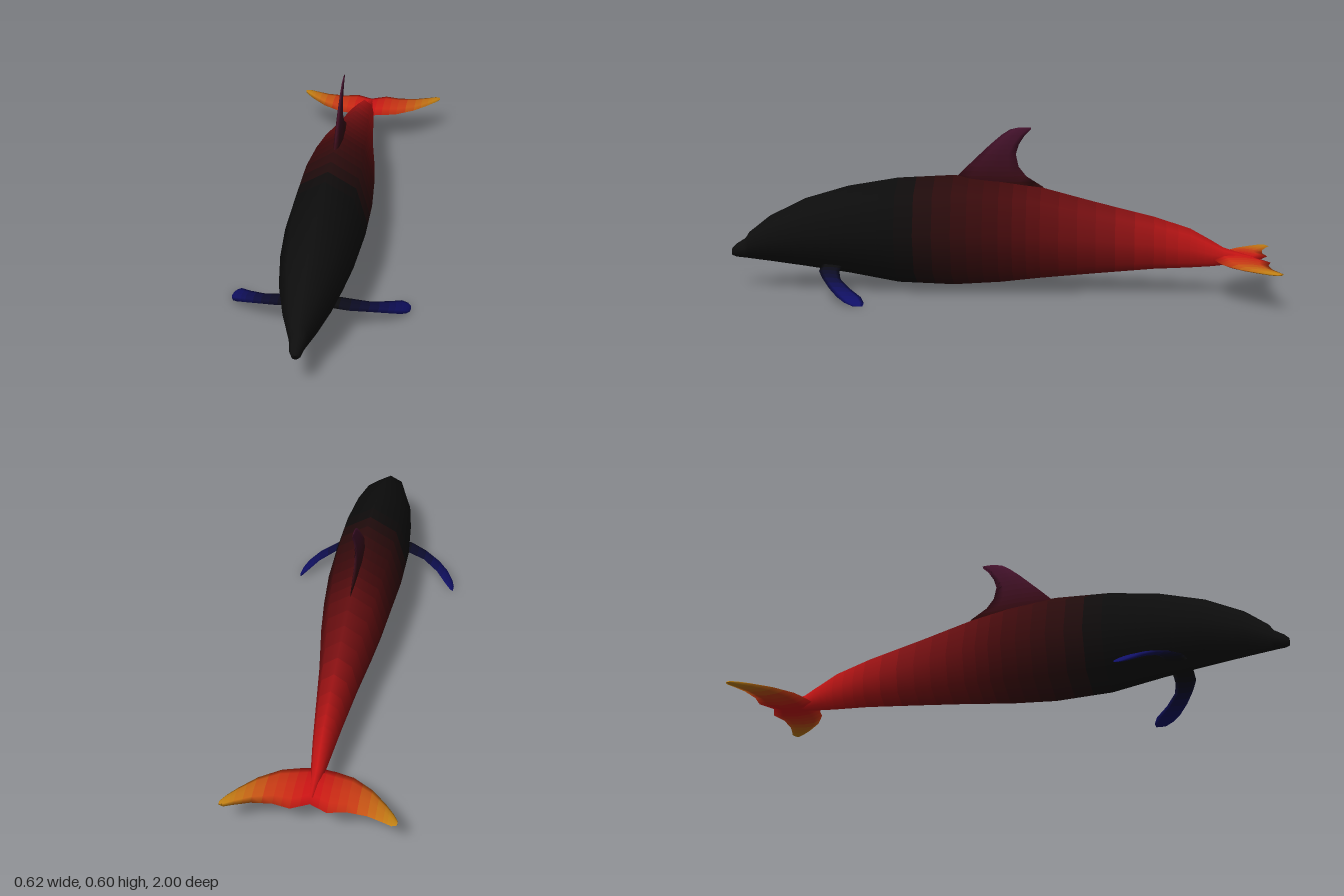
import * as THREE from 'three';

const V = (x, y, z) => new THREE.Vector3(x, y, z);

// Colour at k from a list of [position, hex] stops in rising order
function gradient(stops, k) {
  let i = 0;
  while (i < stops.length - 2 && k > stops[i + 1][0]) i++;
  const [k0, c0] = stops[i], [k1, c1] = stops[i + 1];
  const t = THREE.MathUtils.clamp((k - k0) / (k1 - k0), 0, 1);
  return new THREE.Color(c0).lerp(new THREE.Color(c1), t);
}

// Smooth closed loft through rings of points, split into colour bands
function loft(name, rings, colourAt, split = 3) {
  const n = rings[0].length;
  const centre = r => r.reduce((s, p) => s.add(p), V(0, 0, 0)).divideScalar(n);
  const closed = [rings[0], ...rings, rings[rings.length - 1]].map((r, i, all) => {
    if (i > 0 && i < all.length - 1) return r;
    const c = centre(r);
    return r.map(() => c.clone());
  });
  const indexFor = count => {
    const index = [];
    for (let i = 0; i < count - 1; i++) for (let j = 0; j < n; j++) {
      const a = i * n + j, b = i * n + (j + 1) % n;
      index.push(a, b, b + n, a, b + n, a + n);
    }
    return index;
  };
  // Turn the rings round if the surface would face inwards
  let volume = 0;
  const flat = closed.flat(), idx = indexFor(closed.length);
  for (let i = 0; i < idx.length; i += 3) {
    volume += flat[idx[i]].dot(flat[idx[i + 1]].clone().cross(flat[idx[i + 2]]));
  }
  if (volume < 0) closed.forEach(r => r.reverse());

  const whole = new THREE.BufferGeometry().setFromPoints(closed.flat());
  whole.setIndex(idx);
  whole.computeVertexNormals();
  const normals = closed.map((r, i) => r.map((_, j) =>
    new THREE.Vector3().fromBufferAttribute(whole.attributes.normal, i * n + j)));

  const group = new THREE.Group();
  group.name = name;
  for (let i = 0; i < closed.length - 1; i++) {
    const cap = i === 0 || i === closed.length - 2;
    const steps = cap ? 1 : split;
    for (let s = 0; s < steps; s++) {
      const pos = [], nor = [];
      for (const t of [s / steps, (s + 1) / steps]) for (let j = 0; j < n; j++) {
        pos.push(closed[i][j].clone().lerp(closed[i + 1][j], t));
        // Cap centres have too little area for a useful normal of their own
        const n0 = normals[i === 0 ? 1 : i][j];
        const n1 = normals[i === closed.length - 2 ? i : i + 1][j];
        nor.push(n0.clone().lerp(n1, t).normalize());
      }
      const geometry = new THREE.BufferGeometry().setFromPoints(pos);
      geometry.setAttribute('normal', new THREE.Float32BufferAttribute(nor.flatMap(v => v.toArray()), 3));
      geometry.setIndex(indexFor(2));
      const middle = centre(closed[i]).lerp(centre(closed[i + 1]), (s + 0.5) / steps);
      const mesh = new THREE.Mesh(geometry, new THREE.MeshStandardMaterial({ color: colourAt(middle) }));
      mesh.name = name + 'Band';
      group.add(mesh);
    }
  }
  return group;
}

// Lens-shaped fin section between a leading and a trailing point
function lens(lead, trail, half) {
  const at = (t, k) => lead.clone().lerp(trail, t).addScaledVector(half, k);
  return [at(0, 0), at(0.2, 0.85), at(0.5, 1), at(0.8, 0.5), at(1, 0), at(0.8, -0.5), at(0.5, -1), at(0.2, -0.85)];
}

export function createModel() {
  const model = new THREE.Group();
  model.name = 'dolphin';

  // Body: z, top, bottom, half width of each eight-sided section
  const sections = [
    [1.0, 0.15, 0.122, 0.013], [0.985, 0.165, 0.116, 0.021], [0.95, 0.187, 0.113, 0.027],
    [0.935, 0.21, 0.111, 0.033], [0.855, 0.273, 0.102, 0.064], [0.72, 0.34, 0.085, 0.1],
    [0.56, 0.388, 0.063, 0.124], [0.375, 0.42, 0.031, 0.14], [0.17, 0.432, 0.025, 0.138],
    [0.0, 0.417, 0.037, 0.125], [-0.15, 0.39, 0.055, 0.108], [-0.35, 0.338, 0.075, 0.078],
    [-0.56, 0.287, 0.095, 0.053], [-0.69, 0.246, 0.102, 0.038], [-0.77, 0.202, 0.108, 0.028],
    [-0.81, 0.178, 0.113, 0.022], [-0.92, 0.145, 0.131, 0.008],
  ];
  const skin = [[-0.95, 0xd01414], [-0.7, 0xb81414], [-0.4, 0x7c1012], [0, 0x400a0c], [0.35, 0x0c0c0c], [1, 0x0e0e0e]];
  model.add(loft('body', sections.map(([z, top, bottom, w]) => {
    const ring = [];
    for (let j = 0; j < 8; j++) {
      const a = j * Math.PI / 4;
      ring.push(V(w * Math.sin(a), (top + bottom) / 2 + (top - bottom) / 2 * Math.cos(a), z));
    }
    return ring;
  }), p => gradient(skin, p.z)));

  // Dorsal fin: y, leading z, trailing z, half thickness
  const dorsal = [
    [0.39, 0.17, -0.16, 0.013], [0.43, 0.155, -0.095, 0.012], [0.465, 0.12, -0.067, 0.01],
    [0.51, 0.073, -0.057, 0.008], [0.546, 0.035, -0.068, 0.006], [0.58, -0.005, -0.09, 0.004],
    [0.6, -0.035, -0.111, 0.003], [0.608, -0.07, -0.112, 0.002],
  ];
  model.add(loft('dorsalFin', dorsal.map(([y, a, b, h]) => lens(V(0, y, a), V(0, y, b), V(h, 0, 0))),
    p => gradient([[0.4, 0x32090c], [0.61, 0x481430]], p.y), 2));

  // Pectoral fins: x, y, leading z, trailing z, half thickness
  const pectoral = [
    [0.05, 0.1, 0.655, 0.58, 0.005], [0.12, 0.09, 0.65, 0.575, 0.006], [0.18, 0.075, 0.625, 0.56, 0.007],
    [0.24, 0.053, 0.59, 0.515, 0.008], [0.28, 0.031, 0.555, 0.468, 0.008], [0.3, 0.015, 0.525, 0.455, 0.006],
    [0.31, 0.005, 0.495, 0.458, 0.003],
  ];
  for (const [side, name] of [[1, 'leftPectoralFin'], [-1, 'rightPectoralFin']]) {
    model.add(loft(name, pectoral.map(([x, y, a, b, h]) =>
      lens(V(side * x, y, a), V(side * x, y, b), V(side * x, 0.25, 0).setLength(h))),
    p => gradient([[0.08, 0x0c0c0e], [0.18, 0x0c0c30], [0.3, 0x101068]], Math.abs(p.x)), 2));
  }

  // Tail flukes: x, leading z, trailing z, half thickness, lofted from tip to tip
  const fluke = [
    [0, -0.775, -0.945, 0.017], [0.06, -0.785, -0.975, 0.016], [0.12, -0.802, -0.962, 0.013],
    [0.19, -0.85, -0.969, 0.009], [0.243, -0.908, -0.988, 0.007], [0.272, -0.946, -1.0, 0.006],
    [0.289, -0.975, -0.994, 0.003],
  ];
  const span = [...fluke.slice(1).reverse().map(([x, ...rest]) => [-x, ...rest]), ...fluke];
  model.add(loft('tailFlukes', span.map(([x, a, b, h]) => lens(V(x, 0.136, a), V(x, 0.136, b), V(0, h, 0))),
    p => gradient([[0.03, 0xcc1414], [0.14, 0xc83c14], [0.27, 0xc08014]], Math.abs(p.x)), 2));

  return model;
}
